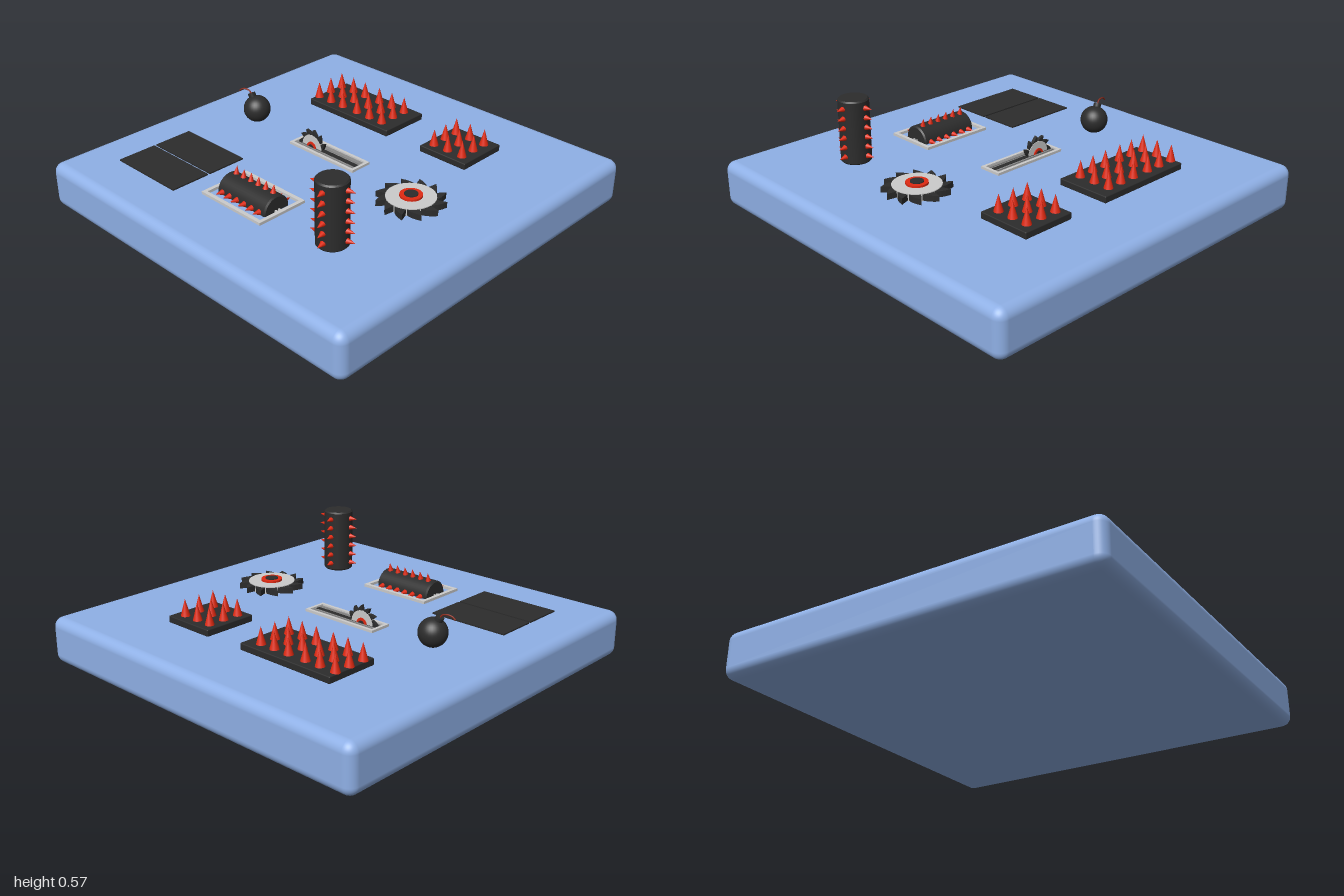
import * as THREE from 'three';
import { RoundedBoxGeometry } from 'three/addons/geometries/RoundedBoxGeometry.js';

const paint = (color) => new THREE.MeshStandardMaterial({ color });
const BLUE = paint(0x8fb0e6), DARK = paint(0x2c2c2c), RED = paint(0xe02a12);
const GREY = paint(0xcccccc), MID = paint(0x8a8a8a), FUSE = paint(0x8a2a1a);
const TOP = 0.24;

function add(parent, name, geometry, material, x = 0, y = 0, z = 0) {
  const mesh = new THREE.Mesh(geometry, material);
  mesh.name = name;
  mesh.position.set(x, y, z);
  parent.add(mesh);
  return mesh;
}

function group(parent, name, x, y, z) {
  const g = new THREE.Group();
  g.name = name;
  g.position.set(x, y, z);
  parent.add(g);
  return g;
}

// Rectangular border lying flat, extruded upward
function flatFrame(w, d, rim, h) {
  const rect = (Kind, a, b) => new Kind().moveTo(-a, -b).lineTo(a, -b).lineTo(a, b).lineTo(-a, b).closePath();
  const shape = rect(THREE.Shape, w / 2, d / 2);
  shape.holes.push(rect(THREE.Path, w / 2 - rim, d / 2 - rim));
  return new THREE.ExtrudeGeometry(shape, { depth: h, bevelEnabled: false }).rotateX(-Math.PI / 2);
}

// Plate with a grid of upright spikes
function spikePlate(parent, name, z, depth, rows) {
  const g = group(parent, name, 0.507, TOP, z);
  add(g, 'plate', new RoundedBoxGeometry(0.285, 0.035, depth, 2, 0.005), DARK, 0, 0.0175, 0);
  const cone = new THREE.ConeGeometry(0.024, 0.088, 20);
  for (const rz of rows) for (const x of [-0.089, 0, 0.087]) add(g, 'spike', cone, RED, x, 0.077, rz - z);
}

// Upright cylinder, centred, with six rings of radial spikes at the given angles
function spikedDrum(parent, name, length, angles, pitch) {
  const g = group(parent, name, 0, 0, 0);
  const h = length / 2, r = 0.077, b = 0.007;
  const profile = [[0, -h], [r - b, -h], [r - b, -h], [r, -h + b], [r, -h + b], [r, h - b], [r, h - b], [r - b, h], [r - b, h], [0, h]];
  add(g, 'drum', new THREE.LatheGeometry(profile.map(([x, y]) => new THREE.Vector2(x, y)), 40), DARK);
  const cone = new THREE.ConeGeometry(0.016, 0.048, 14).rotateZ(-Math.PI / 2).translate(0.094, 0, 0);
  for (const a of angles) for (let i = 0; i < 6; i++) {
    add(g, 'drumSpike', cone, RED, 0, (i - 2.5) * pitch, 0).rotation.y = THREE.MathUtils.degToRad(a);
  }
  return g;
}

// Saw blade with swept teeth, lying flat and centred on its own thickness
function sawBlade(parent, name) {
  const g = group(parent, name, 0, 0, 0);
  const shape = new THREE.Shape(), n = 12, step = (Math.PI * 2) / n;
  const at = (r, a) => [r * Math.cos(a), r * Math.sin(a)];
  shape.moveTo(...at(0.115, 0));
  for (let i = 0; i < n; i++) {
    shape.quadraticCurveTo(...at(0.145, (i + 0.3) * step), ...at(0.17, (i + 0.9) * step));
    shape.lineTo(...at(0.115, (i + 1) * step));
  }
  const teeth = new THREE.ExtrudeGeometry(shape, { depth: 0.03, bevelEnabled: false, curveSegments: 4 });
  add(g, 'teeth', teeth.translate(0, 0, -0.015).rotateX(-Math.PI / 2), DARK);
  add(g, 'disc', new THREE.CylinderGeometry(0.12, 0.12, 0.038, 48), GREY);
  add(g, 'hubRing', new THREE.CylinderGeometry(0.055, 0.055, 0.058, 32), RED);
  add(g, 'hubCap', new THREE.CylinderGeometry(0.033, 0.033, 0.066, 28), DARK);
  return g;
}

export function createModel() {
  const model = new THREE.Group();
  model.name = 'trapBoard';
  add(model, 'base', new RoundedBoxGeometry(2, TOP, 2, 5, 0.05), BLUE, 0, TOP / 2, 0);

  // Trapdoor
  const door = group(model, 'trapdoor', -0.532, TOP, -0.557);
  for (const s of [-1, 1]) add(door, 'doorLeaf', new THREE.BoxGeometry(0.212, 0.008, 0.425), DARK, s * 0.112, 0.003, 0);

  // Spike plates
  spikePlate(model, 'longSpikePlate', -0.278, 0.56, [-0.54, -0.45, -0.362, -0.257, -0.167, -0.08]);
  spikePlate(model, 'squareSpikePlate', 0.37, 0.285, [0.275, 0.363, 0.453]);

  // Standing spiked pole
  const pole = spikedDrum(model, 'spikedPole', 0.33, [11, 101, 191, 281], 0.05);
  pole.position.set(-0.548, TOP + 0.165, 0.511);

  // Half sunk spiked roller in its frame
  const roller = group(model, 'roller', -0.533, TOP, -0.024);
  add(roller, 'rollerFrame', flatFrame(0.28, 0.405, 0.02, 0.014), GREY);
  for (const s of [-1, 1]) add(roller, 'axleRail', new THREE.BoxGeometry(0.008, 0.01, 0.37), GREY, s * 0.01, 0.005, 0);
  const drum = spikedDrum(roller, 'rollerDrum', 0.328, [3, 80, 172], 0.051);
  drum.rotation.x = Math.PI / 2;
  drum.scale.z = -1;
  drum.position.set(0, 0.002, 0);
  // Spike angles are measured upward from the right side of the drum
  drum.scale.z = 1;

  // Upright saw travelling in a slot
  const slot = group(model, 'sawSlot', 0.026, TOP, -0.08);
  add(slot, 'slotFrame', flatFrame(0.122, 0.44, 0.016, 0.013), GREY);
  add(slot, 'slotFloor', new THREE.BoxGeometry(0.1, 0.006, 0.41), MID, 0, 0.002, 0);
  add(slot, 'slotGroove', new THREE.BoxGeometry(0.026, 0.004, 0.4), DARK, -0.004, 0.0045, 0);
  for (const s of [-1, 1]) add(slot, 'slotRail', new THREE.BoxGeometry(0.01, 0.01, 0.4), MID, s * 0.026 - 0.004, 0.005, 0);
  const slotSaw = sawBlade(slot, 'slotSaw');
  slotSaw.scale.setScalar(0.56);
  slotSaw.rotation.z = Math.PI / 2;
  slotSaw.position.set(-0.004, 0.003, -0.107);

  // Flat saw
  sawBlade(model, 'flatSaw').position.set(-0.052, TOP + 0.021, 0.53);

  // Bomb with tilted neck and curled fuse
  const bomb = group(model, 'bomb', 0.026, TOP + 0.073, -0.614);
  add(bomb, 'bombBody', new THREE.SphereGeometry(0.071, 32, 24), DARK);
  const neck = add(bomb, 'bombNeck', new THREE.CylinderGeometry(0.02, 0.02, 0.026, 24), DARK, -0.006, 0.068, -0.028);
  neck.quaternion.setFromUnitVectors(new THREE.Vector3(0, 1, 0), new THREE.Vector3(-0.08, 0.92, -0.38).normalize());
  const curve = new THREE.CatmullRomCurve3([
    [-0.007, 0.075, -0.031], [-0.011, 0.092, -0.045], [-0.015, 0.097, -0.07], [-0.021, 0.091, -0.092], [-0.024, 0.078, -0.106],
  ].map((p) => new THREE.Vector3(...p)));
  add(bomb, 'fuse', new THREE.TubeGeometry(curve, 20, 0.004, 8), FUSE);

  return model;
}
